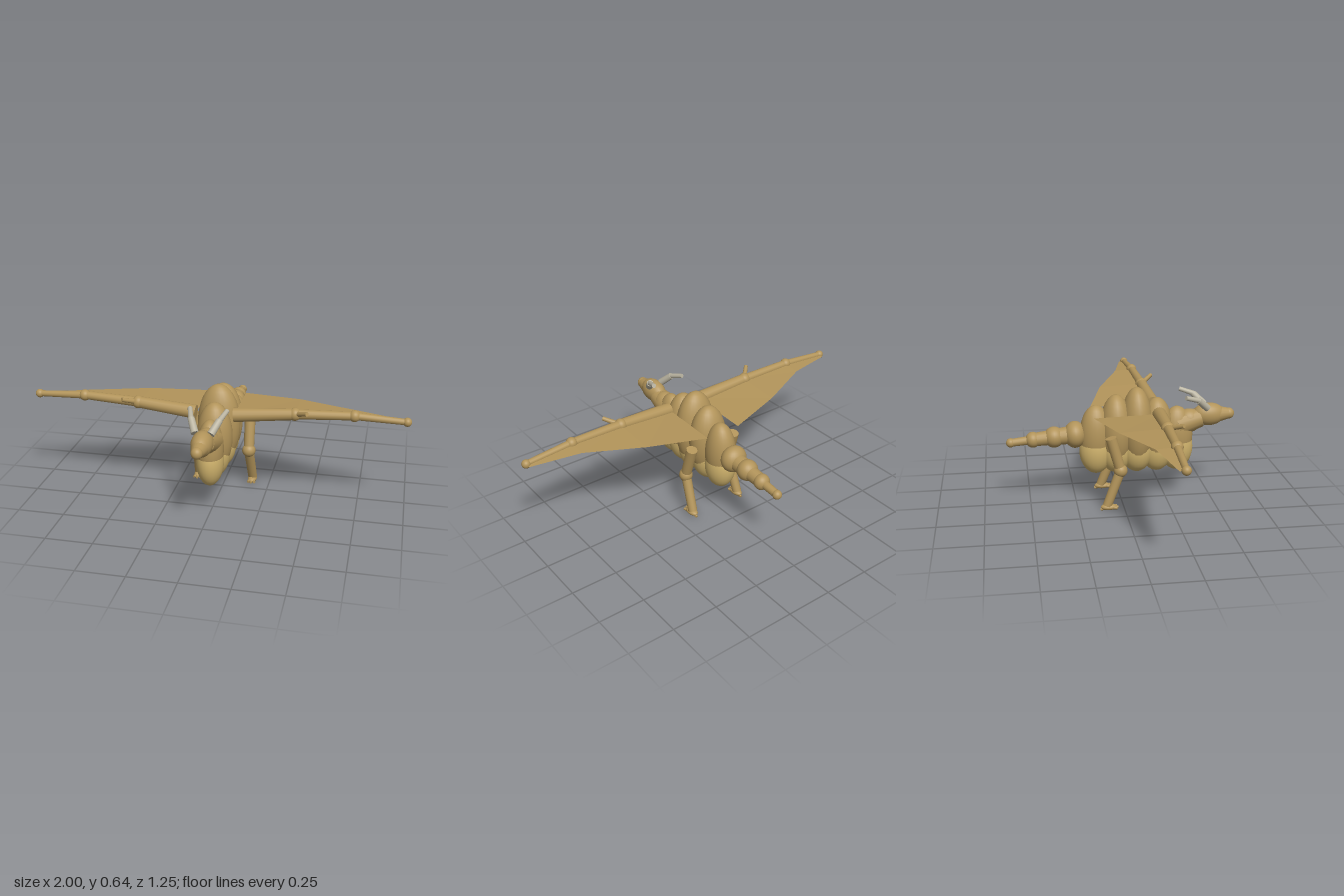
import * as THREE from 'three';

const hide = new THREE.MeshStandardMaterial({ color: 0xb2945a });
hide.name = 'hide';
const belly = new THREE.MeshStandardMaterial({ color: 0xcfb26c });
belly.name = 'belly';
const horn = new THREE.MeshStandardMaterial({ color: 0xb9b3a0 });
horn.name = 'horn';
const membrane = new THREE.MeshStandardMaterial({ color: 0xb2945a, side: THREE.DoubleSide });
membrane.name = 'membrane';

const V = (p) => new THREE.Vector3(...p);

function add(parent, name, geometry, material) {
  const mesh = new THREE.Mesh(geometry, material);
  mesh.name = name;
  parent.add(mesh);
  return mesh;
}

// ellipsoid at a centre with three radii
function blob(parent, name, centre, radii, material = hide) {
  const mesh = add(parent, name, new THREE.SphereGeometry(1, 24, 18), material);
  mesh.position.set(...centre);
  mesh.scale.set(...radii);
  return mesh;
}

// tapered rod between two points
function rod(parent, name, a, b, ra, rb, material = hide) {
  const from = V(a), dir = V(b).sub(from);
  const mesh = add(parent, name, new THREE.CylinderGeometry(rb, ra, dir.length(), 16), material);
  mesh.position.copy(from).addScaledVector(dir, 0.5);
  mesh.quaternion.setFromUnitVectors(new THREE.Vector3(0, 1, 0), dir.normalize());
  return mesh;
}

function buildBody(model) {
  const body = new THREE.Group();
  body.name = 'body';
  model.add(body);
  // z, top, bottom, half width, belly half width
  const lobes = [
    [0.307, 0.53, 0.205, 0.07, 0.071],
    [0.197, 0.583, 0.2, 0.095, 0.082],
    [0.087, 0.643, 0.195, 0.115, 0.093],
    [-0.027, 0.607, 0.195, 0.107, 0.088],
    [-0.137, 0.553, 0.2, 0.08, 0.08],
  ];
  for (const [z, top, bottom, w, bw] of lobes) {
    blob(body, 'bodyLobe', [0, (top + bottom) / 2, z], [w, (top - bottom) / 2, 0.089]);
    blob(body, 'bellyLobe', [0, 0.3, z], [bw, 0.133, 0.091], belly);
  }
}

function buildHead(model) {
  const head = new THREE.Group();
  head.name = 'head';
  model.add(head);
  rod(head, 'neck', [0, 0.425, 0.31], [0, 0.46, 0.44], 0.07, 0.052);
  blob(head, 'neckBulge', [0, 0.445, 0.375], [0.058, 0.066, 0.07]);
  blob(head, 'skull', [0, 0.477, 0.485], [0.055, 0.063, 0.09]);
  rod(head, 'snout', [0, 0.475, 0.535], [0, 0.477, 0.596], 0.045, 0.03);
  blob(head, 'nose', [0, 0.477, 0.596], [0.03, 0.031, 0.031]);
  for (const s of [1, -1]) {
    rod(head, 'hornBase', [s * 0.04, 0.523, 0.467], [s * 0.072, 0.577, 0.41], 0.02, 0.018, horn);
    rod(head, 'hornTip', [s * 0.07, 0.574, 0.42], [s * 0.095, 0.6, 0.337], 0.014, 0.012, horn);
  }
}

function buildTail(model) {
  const tail = new THREE.Group();
  tail.name = 'tail';
  model.add(tail);
  // y, z, radius, length radius, link radius
  const joints = [
    [0.393, -0.25, 0.073, 0.06, 0.05],
    [0.383, -0.363, 0.057, 0.055, 0.041],
    [0.373, -0.477, 0.043, 0.04, 0.024],
    [0.361, -0.596, 0.025, 0.025, 0.02],
  ];
  joints.forEach(([y, z, r, rz, link], i) => {
    blob(tail, 'tailJoint', [0, y, z], [r, r, rz]);
    const next = joints[i + 1];
    if (next) rod(tail, 'tailLink', [0, y, z], [0, next[0], next[1]], link, link * 0.88);
  });
}

function buildLeg(model, s) {
  const leg = new THREE.Group();
  leg.name = s > 0 ? 'leftLeg' : 'rightLeg';
  model.add(leg);
  const hip = [s * 0.14, 0.41, -0.072], knee = [s * 0.144, 0.227, -0.021], ankle = [s * 0.155, 0.033, -0.095];
  rod(leg, 'thigh', hip, knee, 0.03, 0.028);
  blob(leg, 'knee', knee, [0.037, 0.037, 0.037]);
  rod(leg, 'shin', knee, ankle, 0.027, 0.025);
  blob(leg, 'foot', [s * 0.155, 0.025, -0.087], [0.025, 0.017, 0.044]);
  // three toes ahead, one behind
  for (const [dx, dz] of [[-0.018, 0.045], [0, 0.052], [0.018, 0.045], [0, -0.045]]) {
    rod(leg, 'toe', [s * 0.155, 0.024, -0.087], [s * 0.155 + dx, dz > 0 ? 0.022 : 0.012, -0.087 + dz], 0.013, 0.007);
  }
}

function buildWing(model, s) {
  const wing = new THREE.Group();
  wing.name = s > 0 ? 'leftWing' : 'rightWing';
  model.add(wing);
  const shoulder = [s * 0.1, 0.52, 0.192], elbow = [s * 0.415, 0.545, 0.178];
  const wrist = [s * 0.715, 0.555, 0.165], tip = [s * 0.977, 0.54, 0.154];
  rod(wing, 'upperArm', shoulder, elbow, 0.037, 0.03);
  blob(wing, 'elbow', elbow, [0.033, 0.034, 0.034]);
  rod(wing, 'forearm', elbow, wrist, 0.026, 0.022);
  blob(wing, 'wrist', wrist, [0.03, 0.03, 0.03]);
  rod(wing, 'finger', wrist, tip, 0.02, 0.016);
  blob(wing, 'fingertip', tip, [0.023, 0.023, 0.023]);
  rod(wing, 'claw', elbow, [s * 0.483, 0.577, 0.245], 0.014, 0.011);

  // membrane panels from the bones to the trailing edge
  const lead = [shoulder, elbow, wrist, tip];
  const trail = [[s * 0.1, 0.51, -0.157], [s * 0.415, 0.532, -0.067], [s * 0.715, 0.547, 0.064], [s * 0.975, 0.537, 0.123]];
  const points = [];
  for (let i = 0; i < 3; i++) {
    const quad = [lead[i], lead[i + 1], trail[i + 1], trail[i]];
    const order = s > 0 ? [0, 1, 2, 0, 2, 3] : [0, 2, 1, 0, 3, 2];
    for (const k of order) points.push(...quad[k]);
  }
  const geometry = new THREE.BufferGeometry();
  geometry.setAttribute('position', new THREE.Float32BufferAttribute(points, 3));
  // wind every panel upward
  const index = [];
  const a = V(points.slice(0, 3)), b = V(points.slice(3, 6)), c = V(points.slice(6, 9));
  const up = b.sub(a).cross(c.sub(a)).y > 0;
  for (let i = 0; i < points.length / 3; i += 3) index.push(i, up ? i + 1 : i + 2, up ? i + 2 : i + 1);
  geometry.setIndex(index);
  geometry.computeVertexNormals();
  add(wing, 'wingMembrane', geometry, membrane);
}

export function createModel() {
  const model = new THREE.Group();
  model.name = 'wingedDragon';
  buildBody(model);
  buildHead(model);
  buildTail(model);
  for (const s of [1, -1]) {
    buildLeg(model, s);
    buildWing(model, s);
  }
  return model;
}
